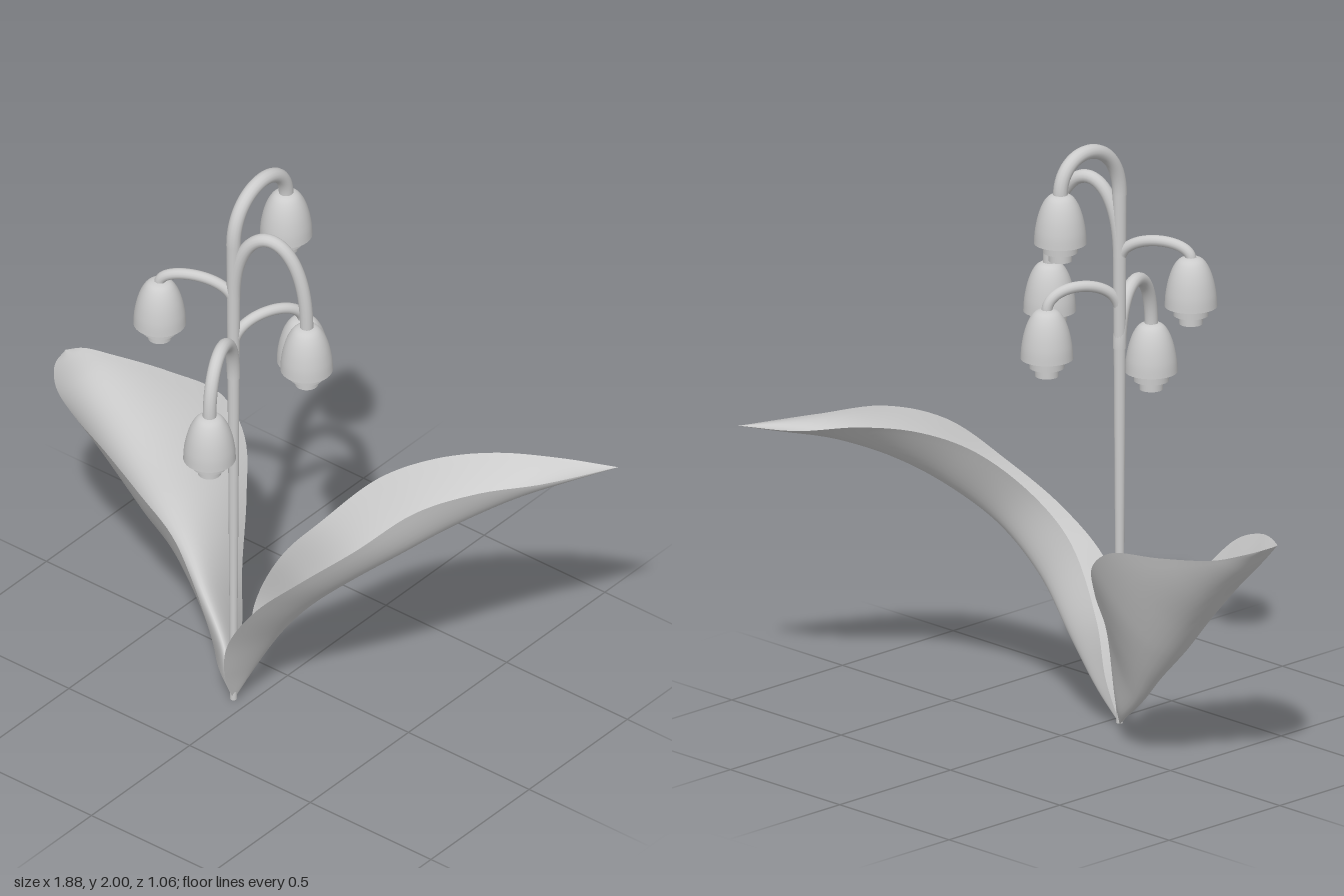
import * as THREE from 'three';
import { ParametricGeometry } from 'three/addons/geometries/ParametricGeometry.js';

const STEM_X = -0.05, STEM_Z = 0.215;
const grey = new THREE.MeshStandardMaterial({ color: 0xcccccc });
const thin = new THREE.MeshStandardMaterial({ color: 0xcccccc, side: THREE.DoubleSide });
const v3 = (p) => new THREE.Vector3(...p);

function mesh(name, geometry, material = grey) {
  const m = new THREE.Mesh(geometry, material);
  m.name = name;
  return m;
}

// Leaf skinned over three rails: front edge, midrib and back edge
function makeLeaf(name, base, tip, rows) {
  const rails = [0, 1, 2].map((i) => new THREE.CatmullRomCurve3(
    [v3(base), ...rows.map((r) => v3(r[i])), v3(tip)]));
  const geometry = new ParametricGeometry((u, t, target) => {
    const [f, m, b] = rails.map((r) => r.getPoint(t));
    // parabola through the three rails gives the channelled cross-section
    target.set(0, 0, 0)
      .addScaledVector(f, (1 - u) * (1 - 2 * u))
      .addScaledVector(m, 4 * u * (1 - u))
      .addScaledVector(b, u * (2 * u - 1));
  }, 20, 60);
  geometry.computeVertexNormals();
  return mesh(name, geometry, thin);
}

// Hanging open bell, top at the local origin, with two smaller open tiers inside its rim
function makeBell() {
  const bell = new THREE.Group();
  bell.name = 'bell';
  const dome = new THREE.SplineCurve([
    [0.085, -0.168], [0.082, -0.125], [0.072, -0.075], [0.056, -0.034], [0.035, -0.009], [0, 0],
  ].map((p) => new THREE.Vector2(...p))).getPoints(24);
  bell.add(mesh('bellDome', new THREE.LatheGeometry(dome, 32), thin));
  for (const [name, r, top, bottom] of [
    ['upperTier', 0.058, -0.13, -0.199], ['lowerTier', 0.039, -0.16, -0.228]]) {
    const tier = mesh(name,
      new THREE.CylinderGeometry(r, r * 0.97, top - bottom, 32, 1, true), thin);
    tier.position.y = (top + bottom) / 2;
    bell.add(tier);
  }
  return bell;
}

// Arched stalk from the stem to a bell at (x, top, z)
function makeFlower({ x, z, start, apex, top, r }) {
  const flower = new THREE.Group();
  flower.name = 'flower';
  const end = top - 0.01;
  const pull = (apex - (start + end) / 8) / 0.75; // control height that puts the crown at apex
  const arch = new THREE.CubicBezierCurve3(
    v3([STEM_X, start, STEM_Z]), v3([STEM_X, pull, STEM_Z]), v3([x, pull, z]), v3([x, end, z]));
  flower.add(mesh('flowerStalk', new THREE.TubeGeometry(arch, 48, r, 14)));
  const bell = makeBell();
  bell.position.set(x, top, z);
  flower.add(bell);
  return flower;
}

export function createModel() {
  const plant = new THREE.Group();
  plant.name = 'bellFlowerPlant';

  // Main stem, slimmer at the ground
  const stem = mesh('stem', new THREE.CylinderGeometry(0.023, 0.011, 1.8, 20));
  stem.position.set(STEM_X, 0.91, STEM_Z);
  plant.add(stem);

  // Flowers, from the top down
  [
    { x: -0.05, z: -0.053, start: 1.8, apex: 1.976, top: 1.867, r: 0.024 },
    { x: 0.184, z: 0.13, start: 1.59, apex: 1.845, top: 1.54, r: 0.022 },
    { x: -0.273, z: 0.317, start: 1.57, apex: 1.658, top: 1.62, r: 0.018 },
    { x: 0.057, z: -0.008, start: 1.4, apex: 1.502, top: 1.44, r: 0.018 },
    { x: 0.037, z: 0.444, start: 1.28, apex: 1.472, top: 1.295, r: 0.022 },
  ].forEach((f) => plant.add(makeFlower(f)));

  // Leaves: each row is front edge, midrib, back edge
  const base = [STEM_X, 0.005, STEM_Z];
  plant.add(makeLeaf('leftLeaf', base, [0.938, 0.956, -0.53], [
    [[-0.03, 0.15, 0.285], [0.0, 0.13, 0.165], [-0.035, 0.17, 0.165]],
    [[0.015, 0.31, 0.325], [0.085, 0.29, 0.13], [-0.022, 0.36, 0.14]],
    [[0.135, 0.5, 0.328], [0.215, 0.465, 0.122], [0.09, 0.6, 0.135]],
    [[0.28, 0.65, 0.28], [0.36, 0.615, 0.08], [0.2, 0.745, 0.08]],
    [[0.43, 0.79, 0.185], [0.5, 0.74, -0.02], [0.33, 0.9, -0.06]],
    [[0.57, 0.93, 0.05], [0.62, 0.83, -0.13], [0.46, 0.965, -0.185]],
    [[0.7, 0.98, -0.1], [0.74, 0.9, -0.27], [0.6, 0.98, -0.315]],
    [[0.82, 0.968, -0.29], [0.84, 0.935, -0.4], [0.76, 0.96, -0.445]],
  ]));
  plant.add(makeLeaf('rightLeaf', base, [-0.937, 0.858, -0.02], [
    [[-0.095, 0.12, 0.235], [-0.12, 0.045, 0.155], [-0.05, 0.13, 0.19]],
    [[-0.115, 0.23, 0.245], [-0.2, 0.09, 0.085], [-0.055, 0.265, 0.165]],
    [[-0.22, 0.395, 0.215], [-0.35, 0.195, 0.01], [-0.14, 0.4, 0.06]],
    [[-0.33, 0.51, 0.185], [-0.45, 0.3, -0.025], [-0.24, 0.56, -0.085]],
    [[-0.445, 0.63, 0.205], [-0.54, 0.4, -0.035], [-0.33, 0.7, -0.185]],
    [[-0.575, 0.755, 0.225], [-0.65, 0.535, -0.035], [-0.46, 0.785, -0.225]],
    [[-0.72, 0.812, 0.2], [-0.76, 0.655, -0.03], [-0.65, 0.805, -0.195]],
    [[-0.86, 0.828, 0.125], [-0.87, 0.77, -0.025], [-0.83, 0.825, -0.13]],
    [[-0.92, 0.85, 0.055], [-0.917, 0.832, -0.02], [-0.908, 0.848, -0.075]],
  ]));
  return plant;
}
